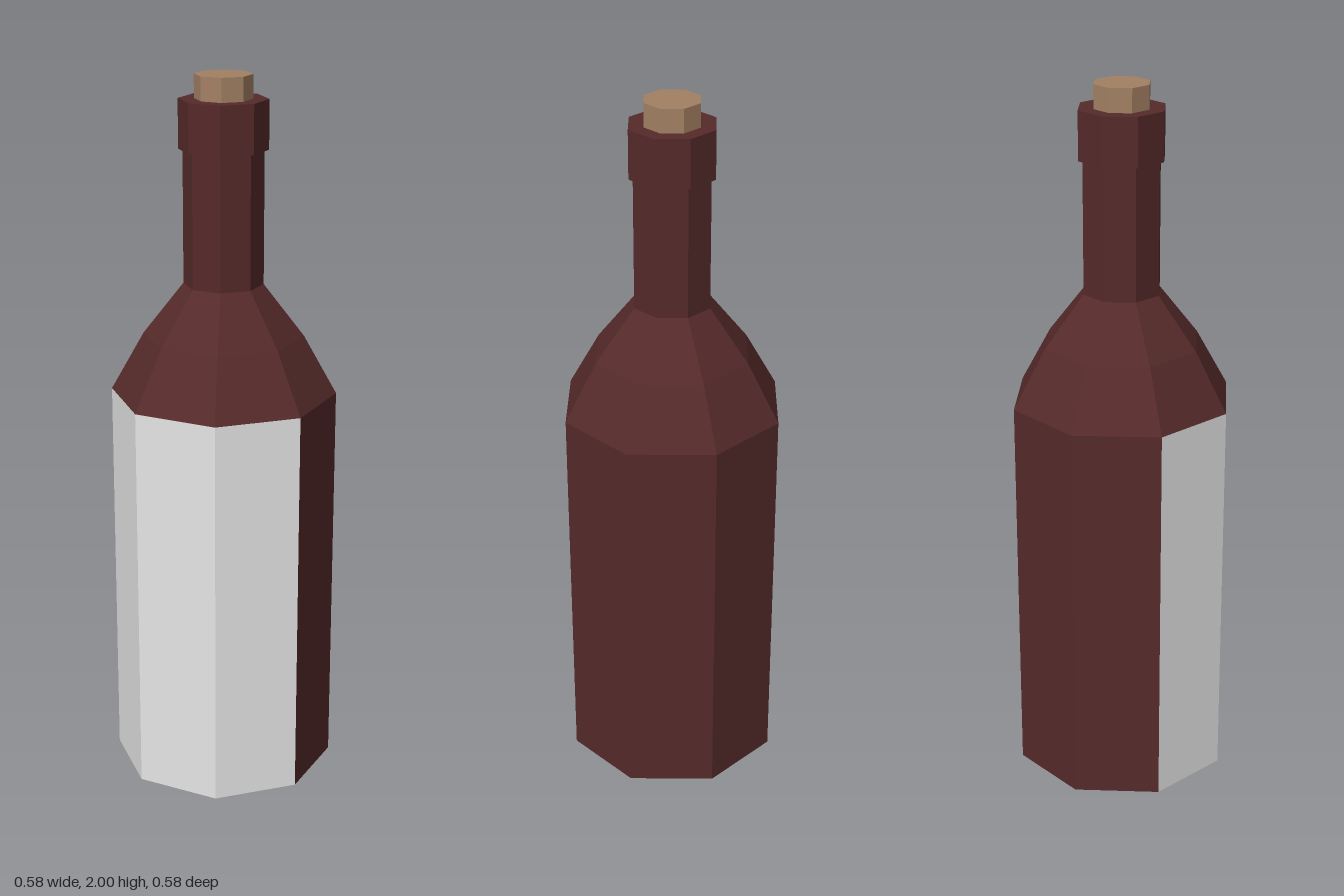
import * as THREE from 'three';

const SIDES = 8;
const STEP = (Math.PI * 2) / SIDES;
const TO_CORNER = 1 / Math.cos(STEP / 2); // flat-to-centre distance -> corner radius

// Faceted turned shell; profile is [flat distance, height] from bottom to top
function turned(name, material, profile, firstFace = 0, faces = SIDES) {
  const points = profile.map(([r, y]) => new THREE.Vector2(r * TO_CORNER, y));
  const lathe = new THREE.LatheGeometry(points, faces, (firstFace - 0.5) * STEP, faces * STEP);
  const geometry = lathe.toNonIndexed();
  geometry.computeVertexNormals();
  const mesh = new THREE.Mesh(geometry, material);
  mesh.name = name;
  return mesh;
}

export function createModel() {
  const glass = new THREE.MeshStandardMaterial({ color: 0x562a2a });
  glass.name = 'dark red glass';
  const paper = new THREE.MeshStandardMaterial({ color: 0xe6e6e6 });
  paper.name = 'white label';
  const corkwood = new THREE.MeshStandardMaterial({ color: 0xa48164 });
  corkwood.name = 'cork';

  const R = 0.291;
  const BODY_TOP = 1.12;
  const side = [[R, 0], [R, BODY_TOP]];

  const bottle = new THREE.Group();
  bottle.name = 'bottle';
  bottle.add(
    turned('base', glass, [[0, 0], [R, 0]]),
    // The label covers the three front faces, glass the other five
    turned('label', paper, side, -1, 3),
    turned('body', glass, side, 2, 5),
    turned('shoulder', glass, [[R, BODY_TOP], [0.206, 1.285], [0.102, 1.43]]),
    turned('neck', glass, [[0.102, 1.43], [0.102, 1.8]]),
    turned('lip', glass, [[0.102, 1.8], [0.113, 1.8], [0.113, 1.935], [0, 1.935]]),
    turned('stopper', corkwood, [[0.073, 1.935], [0.073, 2], [0, 2]])
  );
  bottle.rotation.y = -0.009;

  const model = new THREE.Group();
  model.add(bottle);
  return model;
}
